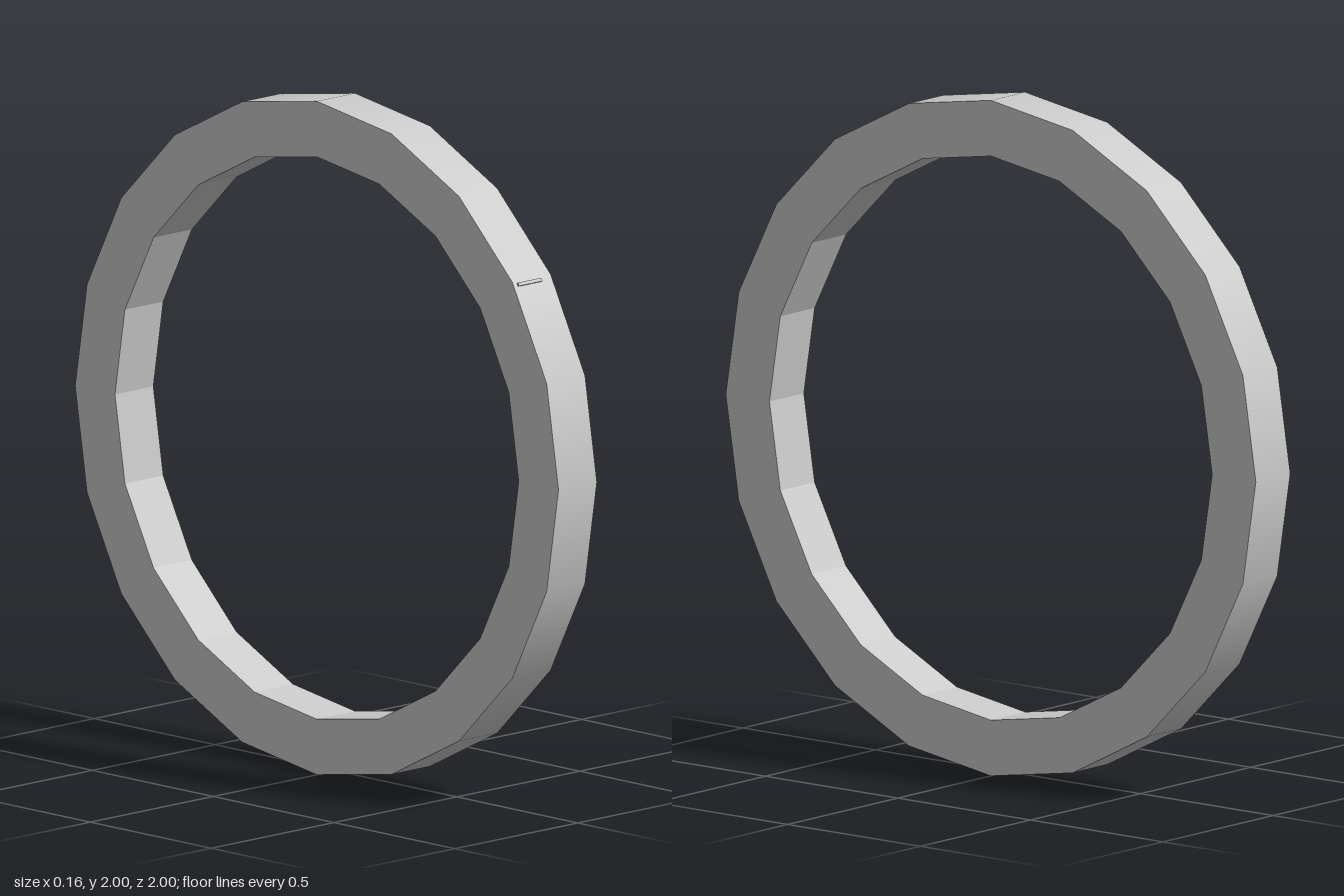
import * as THREE from 'three';

const SIDES = 20, OUTER = 1, INNER = 0.835, HALF = 0.078;

export function createModel() {
  const group = new THREE.Group();
  const smooth = new THREE.MeshStandardMaterial({ color: 0xcccccc });
  const faceted = new THREE.MeshStandardMaterial({ color: 0xcccccc, flatShading: true });

  // One surface of the band, swept around the x axis from a two-point profile
  function band(name, from, to, material) {
    const geometry = new THREE.LatheGeometry(
      [new THREE.Vector2(...from), new THREE.Vector2(...to)], SIDES);
    geometry.rotateZ(Math.PI / 2);
    const mesh = new THREE.Mesh(geometry, material);
    mesh.name = name;
    mesh.position.y = 1;
    group.add(mesh);
  }

  // Ring: smooth rim, faceted inside, flat sides
  band('outerRim', [OUTER, -HALF], [OUTER, HALF], smooth);
  band('rightFace', [OUTER, HALF], [INNER, HALF], faceted);
  band('innerRim', [INNER, HALF], [INNER, -HALF], faceted);
  band('leftFace', [INNER, -HALF], [OUTER, -HALF], faceted);

  // Small raised bar on the front of the rim, lying on the facet below a corner
  const bar = new THREE.Mesh(new THREE.BoxGeometry(0.095, 0.01, 0.014), faceted);
  bar.name = 'rimBar';
  bar.position.set(-0.015, 1.578, 0.813);
  bar.rotation.x = -THREE.MathUtils.degToRad(27);
  group.add(bar);

  return group;
}
